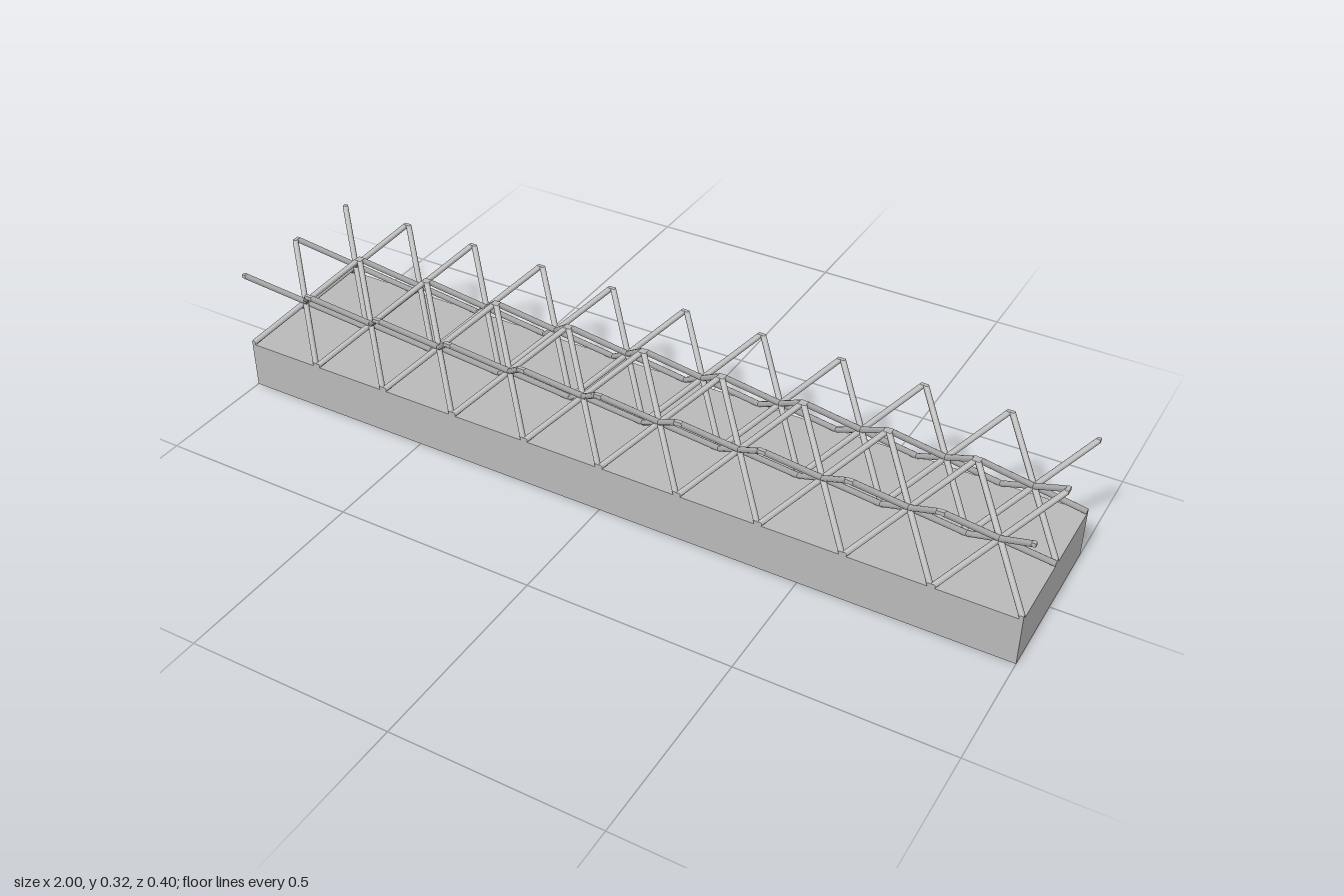
import * as THREE from 'three';
import { toCreasedNormals } from 'three/addons/utils/BufferGeometryUtils.js';

const CELL = 0.2, HALF = CELL / 2, RADIUS = 0.007, BASE_HEIGHT = 0.12;

// Round bar along a cell's body diagonal, its ends trimmed flush with the cell faces
function diagonalStrut() {
  const axis = new THREE.Vector3(1, 1, 1).normalize();
  const g = new THREE.CylinderGeometry(RADIUS, RADIUS, CELL * Math.sqrt(3), 12, 1, false, Math.PI / 4);
  g.applyQuaternion(new THREE.Quaternion().setFromUnitVectors(new THREE.Vector3(0, 1, 0), axis));
  const pos = g.attributes.position;
  for (let i = 0; i < pos.count; i++) {
    const p = new THREE.Vector3().fromBufferAttribute(pos, i);
    // slide each end vertex along the diagonal until it meets a cell face
    const shift = p.dot(axis) > 0
      ? HALF - Math.max(p.x, p.y, p.z)
      : -HALF - Math.min(p.x, p.y, p.z);
    pos.setXYZ(i, p.x + shift, p.y + shift, p.z + shift);
  }
  return toCreasedNormals(g, 0.6);
}

export function createModel() {
  const model = new THREE.Group();
  model.name = 'latticeOnBase';
  const grey = new THREE.MeshStandardMaterial({ color: 0xb8b8b8 });
  grey.name = 'grey';

  // Solid base slab
  const base = new THREE.Mesh(new THREE.BoxGeometry(2, BASE_HEIGHT, 0.4), grey);
  base.name = 'base';
  base.position.y = BASE_HEIGHT / 2;
  model.add(base);

  // One layer of body-centred cells: four crossing diagonals in each
  const strutGeometry = diagonalStrut();
  for (let ix = 0; ix < 10; ix++) {
    for (let iz = 0; iz < 2; iz++) {
      const cell = new THREE.Group();
      cell.name = 'latticeCell';
      cell.position.set(-1 + HALF + ix * CELL, BASE_HEIGHT + HALF, -HALF + iz * CELL);
      for (let k = 0; k < 4; k++) {
        const strut = new THREE.Mesh(strutGeometry, grey);
        strut.name = 'strut';
        strut.rotation.y = k * Math.PI / 2;
        cell.add(strut);
      }
      model.add(cell);
    }
  }
  return model;
}
